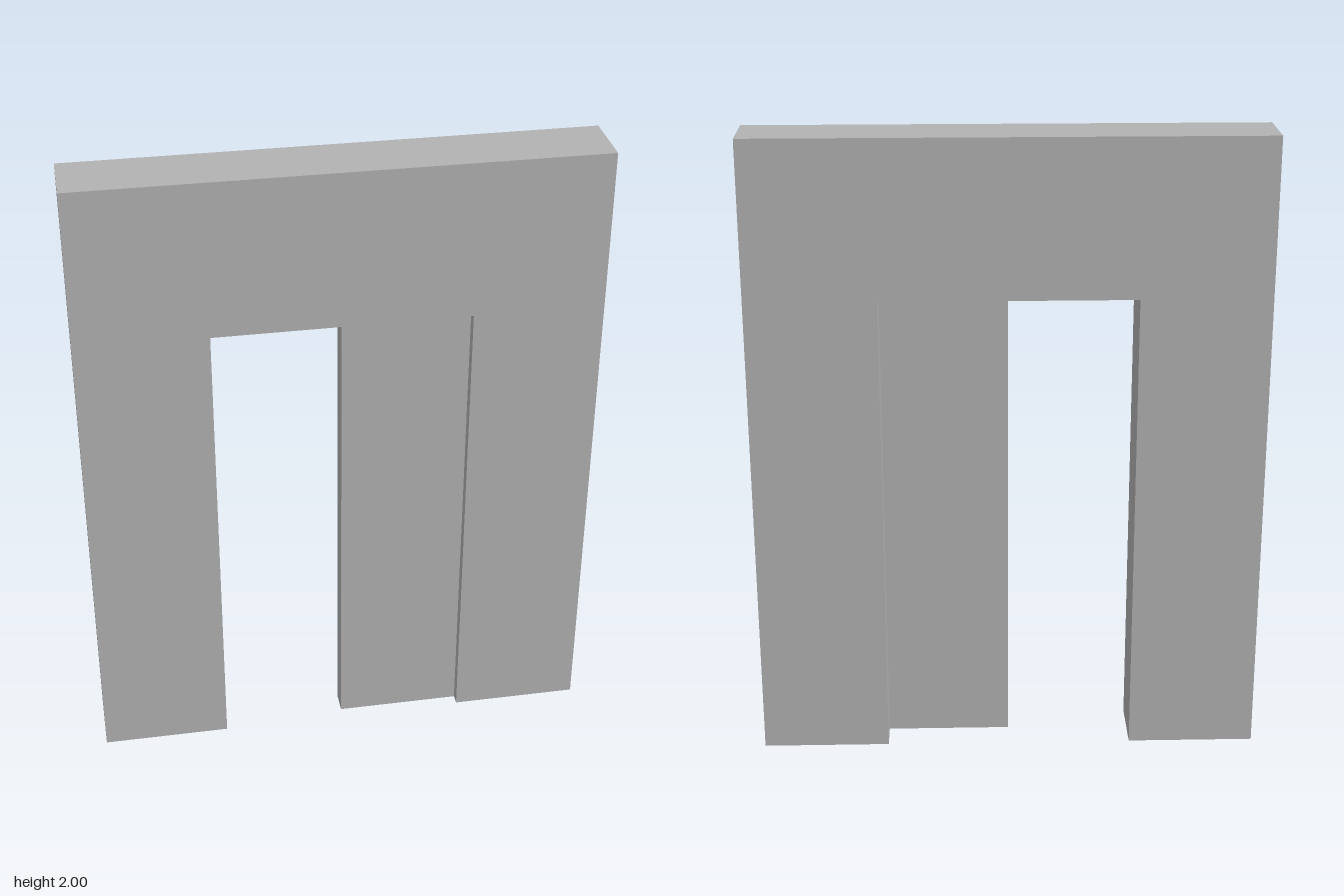
import * as THREE from 'three';

const W = 0.797, H = 2, D = 0.1;      // half width, height and half depth of the wall
const OW = 0.394, OH = 1.507;         // half width and height of the opening

export function createModel() {
  const model = new THREE.Group();
  model.name = 'slidingDoorway';

  const grey = new THREE.MeshStandardMaterial({ color: 0xb2b2b2, side: THREE.DoubleSide });
  grey.name = 'grey';

  const add = (name, geometry, parent = model) => {
    const mesh = new THREE.Mesh(geometry, grey);
    mesh.name = name;
    parent.add(mesh);
    return mesh;
  };

  // Hollow wall around the opening, with open feet
  const frame = new THREE.Group();
  frame.name = 'frame';
  model.add(frame);

  const outline = [
    [OW, 0], [W, 0], [W, H], [-W, H], [-W, 0], [-OW, 0], [-OW, OH], [OW, OH],
  ].map(([x, y]) => new THREE.Vector2(x, y));
  const face = new THREE.ShapeGeometry(new THREE.Shape(outline));
  add('frontFace', face, frame).position.z = D;
  const back = add('backFace', face, frame);
  back.position.z = -D;
  back.rotation.y = Math.PI;

  // Edge panels; each plane is turned to face outward
  const panel = (name, width, height, x, y, rx, ry) => {
    const mesh = add(name, new THREE.PlaneGeometry(width, height), frame);
    mesh.position.set(x, y, 0);
    mesh.rotation.set(rx, ry, 0);
  };
  for (const s of [1, -1]) {
    const side = s > 0 ? 'left' : 'right';
    panel(side + 'End', 2 * D, H, s * W, H / 2, 0, s * Math.PI / 2);
    panel(side + 'Jamb', 2 * D, OH, s * OW, OH / 2, 0, -s * Math.PI / 2);
  }
  panel('top', 2 * W, 2 * D, 0, H, -Math.PI / 2, 0);
  panel('lintelUnderside', 2 * OW, 2 * D, 0, OH, Math.PI / 2, 0);

  // Door leaf, slid halfway into the left side of the wall
  const doorDepth = 0.067;
  add('slidingDoor', new THREE.BoxGeometry(2 * OW, OH, doorDepth))
    .position.set(OW, OH / 2, doorDepth / 2);

  return model;
}
